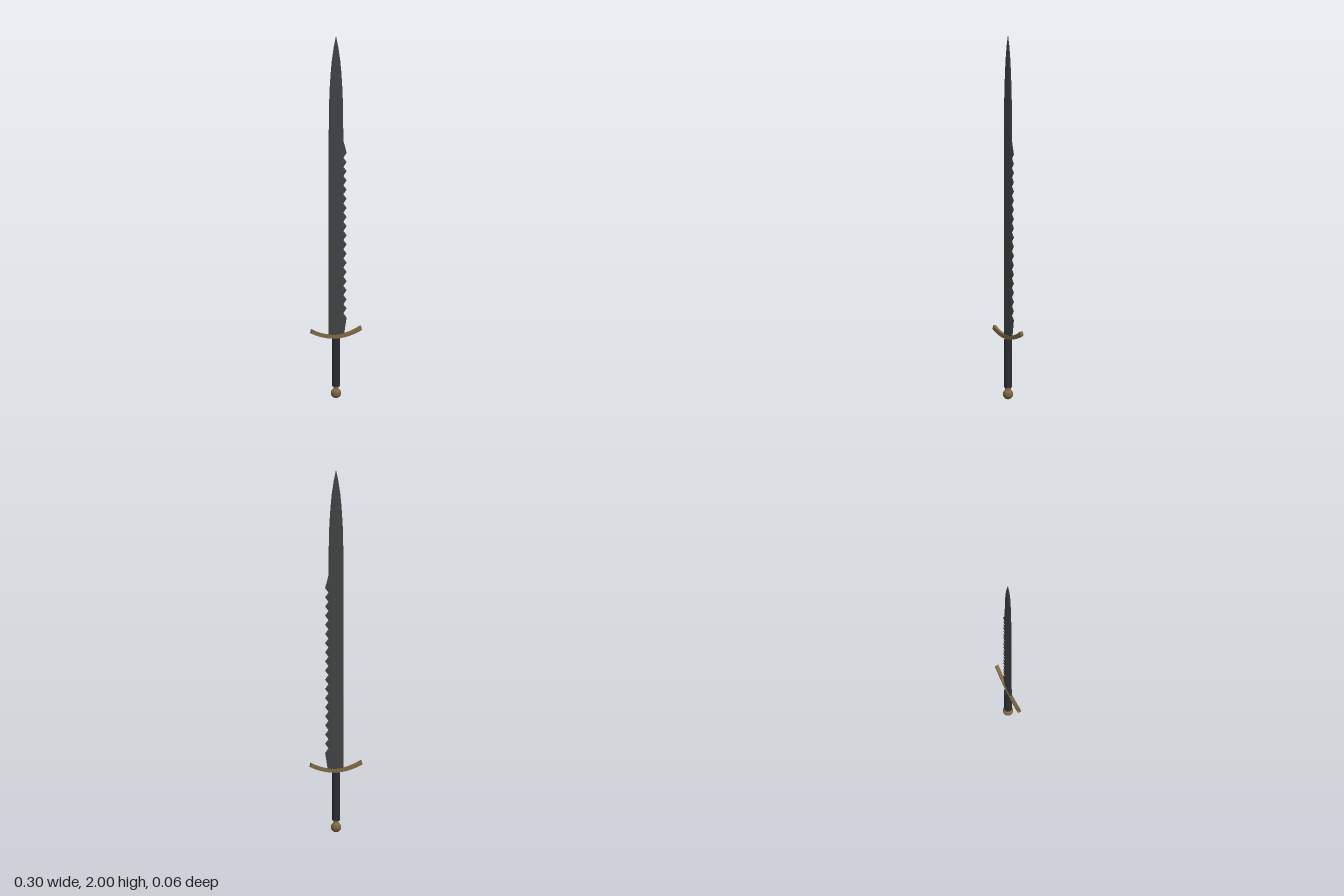
import * as THREE from 'three';

const steel = new THREE.MeshStandardMaterial({ color: 0x404142, flatShading: true });
steel.name = 'darkSteel';
const bronze = new THREE.MeshStandardMaterial({ color: 0x7d6842, flatShading: true });
bronze.name = 'bronze';
const leather = new THREE.MeshStandardMaterial({ color: 0x2b2c30, flatShading: true });
leather.name = 'blackLeather';

// Blade: bevelled cross-sections stacked from guard to tip
function bladeGeometry() {
  const rows = [[0.335, -0.043, 0.046], [0.36, -0.043, 0.049]]; // y, left edge, right edge
  const teeth = 18, y0 = 0.44, y1 = 1.35, step = (y1 - y0) / teeth;
  for (let i = 0; i < teeth; i++) {
    rows.push([y0 + i * step, -0.043, 0.062], [y0 + (i + 0.5) * step, -0.043, 0.043]);
  }
  rows.push([y1, -0.043, 0.062], [1.42, -0.043, 0.043]);
  // Curved point
  for (const [y, w] of [[1.6, 0.041], [1.7, 0.038], [1.8, 0.031], [1.87, 0.024], [1.94, 0.013], [2, 0.0003]]) {
    rows.push([y, -w, w]);
  }
  const pos = [], idx = [];
  for (const [y, l, r] of rows) {
    const core = Math.min(-l, r) * 0.68;
    const t = 0.005 * Math.min(1, -l / 0.02);
    pos.push(l, y, 0, -core, y, t, core, y, t, r, y, 0, core, y, -t, -core, y, -t);
  }
  for (let i = 0; i < rows.length - 1; i++) {
    for (let k = 0; k < 6; k++) {
      const a = i * 6 + k, b = i * 6 + (k + 1) % 6;
      idx.push(a, b, b + 6, a, b + 6, a + 6);
    }
  }
  const top = (rows.length - 1) * 6;
  for (let k = 1; k < 5; k++) {
    idx.push(0, k + 1, k, top, top + k, top + k + 1);
  }
  const g = new THREE.BufferGeometry();
  g.setAttribute('position', new THREE.Float32BufferAttribute(pos, 3));
  g.setIndex(idx);
  g.computeVertexNormals();
  return g;
}

// Crossguard: upward-curving bar
function guardGeometry() {
  const n = 12, depth = 0.018;
  const lower = [], upper = [];
  for (let i = 0; i <= n; i++) {
    const u = (i / n) * 2 - 1;
    const y = 0.33 + 0.037 * u * u;
    lower.push(new THREE.Vector2(u * 0.148, y));
    upper.push(new THREE.Vector2(u * 0.143, y + 0.02 + 0.003 * u * u));
  }
  const shape = new THREE.Shape([...lower, ...upper.reverse()]);
  return new THREE.ExtrudeGeometry(shape, { depth, bevelEnabled: false }).translate(0, 0, -depth / 2);
}

export function createModel() {
  const group = new THREE.Group();
  const add = (name, geometry, material, y = 0) => {
    const mesh = new THREE.Mesh(geometry, material);
    mesh.name = name;
    mesh.position.y = y;
    group.add(mesh);
  };
  add('blade', bladeGeometry(), steel);
  add('crossguard', guardGeometry(), bronze);
  add('grip', new THREE.CylinderGeometry(0.023, 0.021, 0.265, 12), leather, 0.1975);
  add('pommelNeck', new THREE.CylinderGeometry(0.015, 0.015, 0.02, 12), bronze, 0.059);
  add('pommel', new THREE.SphereGeometry(0.0285, 14, 10), bronze, 0.0285);
  return group;
}
